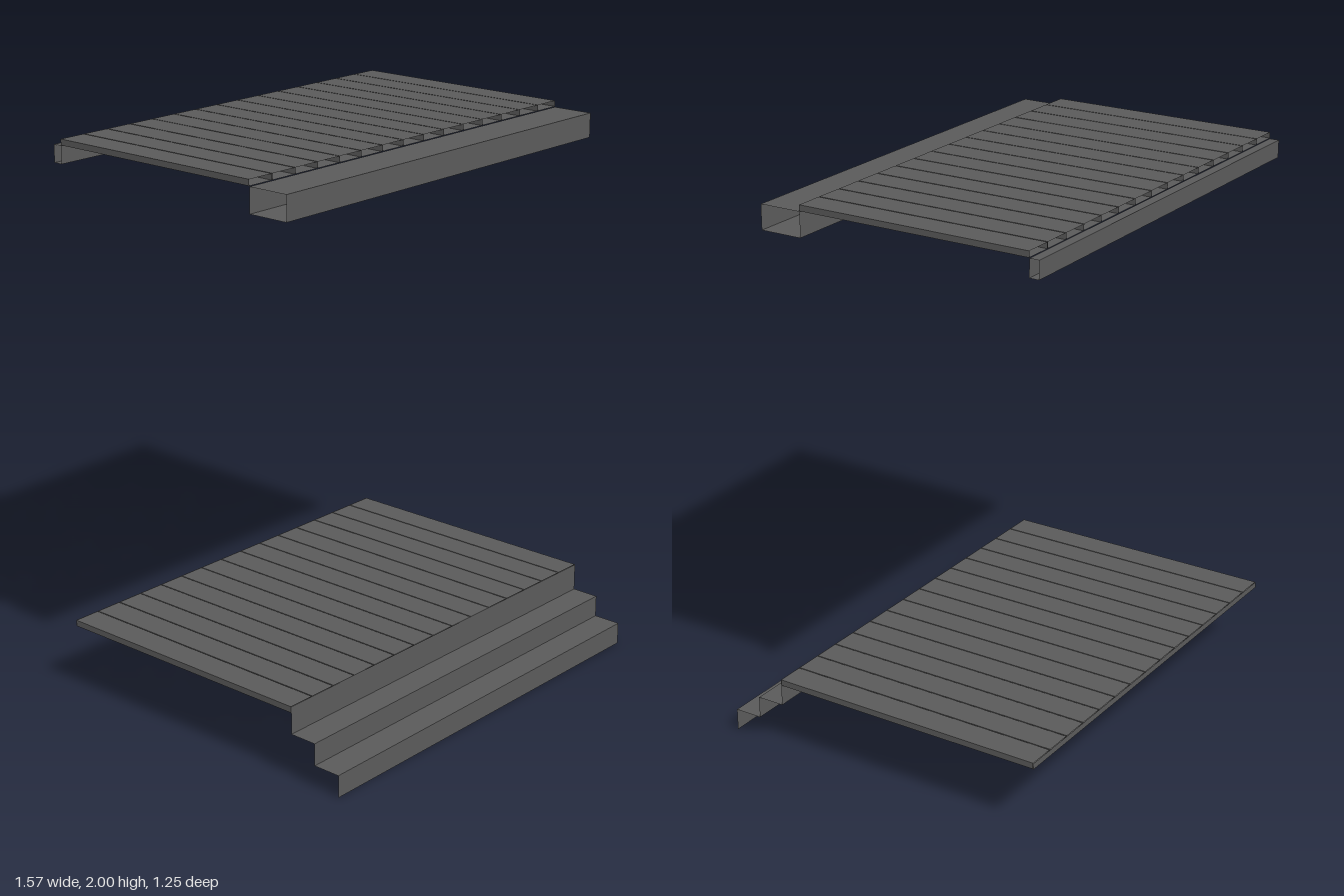
import * as THREE from 'three';

const W = 1.572;          // full width along x
const PLANKS = 15;
const GAP = 0.004;

export function createModel() {
  const model = new THREE.Group();
  model.name = 'porch';
  const paint = new THREE.MeshStandardMaterial({ color: 0x5a5a5a, side: THREE.DoubleSide });
  paint.name = 'dark grey';

  function add(parent, geometry, name) {
    const mesh = new THREE.Mesh(geometry, paint);
    mesh.name = name;
    parent.add(mesh);
    return mesh;
  }

  // Box sleeve left open at both ends of one axis (0 = x, 2 = z)
  function sleeve(parent, name, [x0, x1], [y0, y1], [z0, z1], openAxis) {
    const g = new THREE.BoxGeometry(x1 - x0, y1 - y0, z1 - z0);
    const all = Array.from(g.index.array);
    g.setIndex(all.filter((_, i) => Math.floor(i / 12) !== openAxis));
    g.clearGroups();
    g.translate((x0 + x1) / 2, (y0 + y1) / 2, (z0 + z1) / 2);
    return add(parent, g, name);
  }

  // Upright sheet facing front (or back) and flat sheet facing up
  function upright(parent, name, y0, y1, z, back = false) {
    const g = new THREE.PlaneGeometry(W, y1 - y0);
    if (back) g.rotateY(Math.PI);
    add(parent, g.translate(0, (y0 + y1) / 2, z), name);
  }
  function flat(parent, name, y, z0, z1) {
    const g = new THREE.PlaneGeometry(W, z1 - z0).rotateX(-Math.PI / 2);
    add(parent, g.translate(0, y, (z0 + z1) / 2), name);
  }

  // Row of boards running front to back
  function boards(parent, name, y, z) {
    const pitch = (W + GAP) / PLANKS;
    for (let i = 0; i < PLANKS; i++) {
      const x = -W / 2 + i * pitch;
      sleeve(parent, name, [x, x + pitch - GAP], y, z, 2);
    }
  }

  // Floor deck with an edge sheet at the back
  const deck = new THREE.Group();
  deck.name = 'deck';
  boards(deck, 'deckBoard', [0.238, 0.26], [-0.613, 0.419]);
  upright(deck, 'deckBackEdge', 0.238, 0.26, -0.615, true);

  // Front steps: three risers and two treads
  const steps = new THREE.Group();
  steps.name = 'steps';
  const riserZ = [0.625, 0.522, 0.42];
  const levels = [0, 0.08, 0.16, 0.26];
  riserZ.forEach((z, i) => {
    upright(steps, 'riser', levels[i], levels[i + 1], z);
    if (i < 2) flat(steps, 'tread', levels[i + 1], riserZ[i + 1], z);
  });

  // Roof boards with a hollow beam at the front and a slimmer one at the back
  const roof = new THREE.Group();
  roof.name = 'roof';
  boards(roof, 'roofBoard', [1.979, 2], [-0.59, 0.266]);
  sleeve(roof, 'frontBeam', [-W / 2, W / 2], [1.89, 1.977], [0.266, 0.42], 0);
  sleeve(roof, 'backBeam', [-W / 2, W / 2], [1.915, 1.977], [-0.625, -0.59], 0);

  model.add(deck, steps, roof);
  return model;
}
